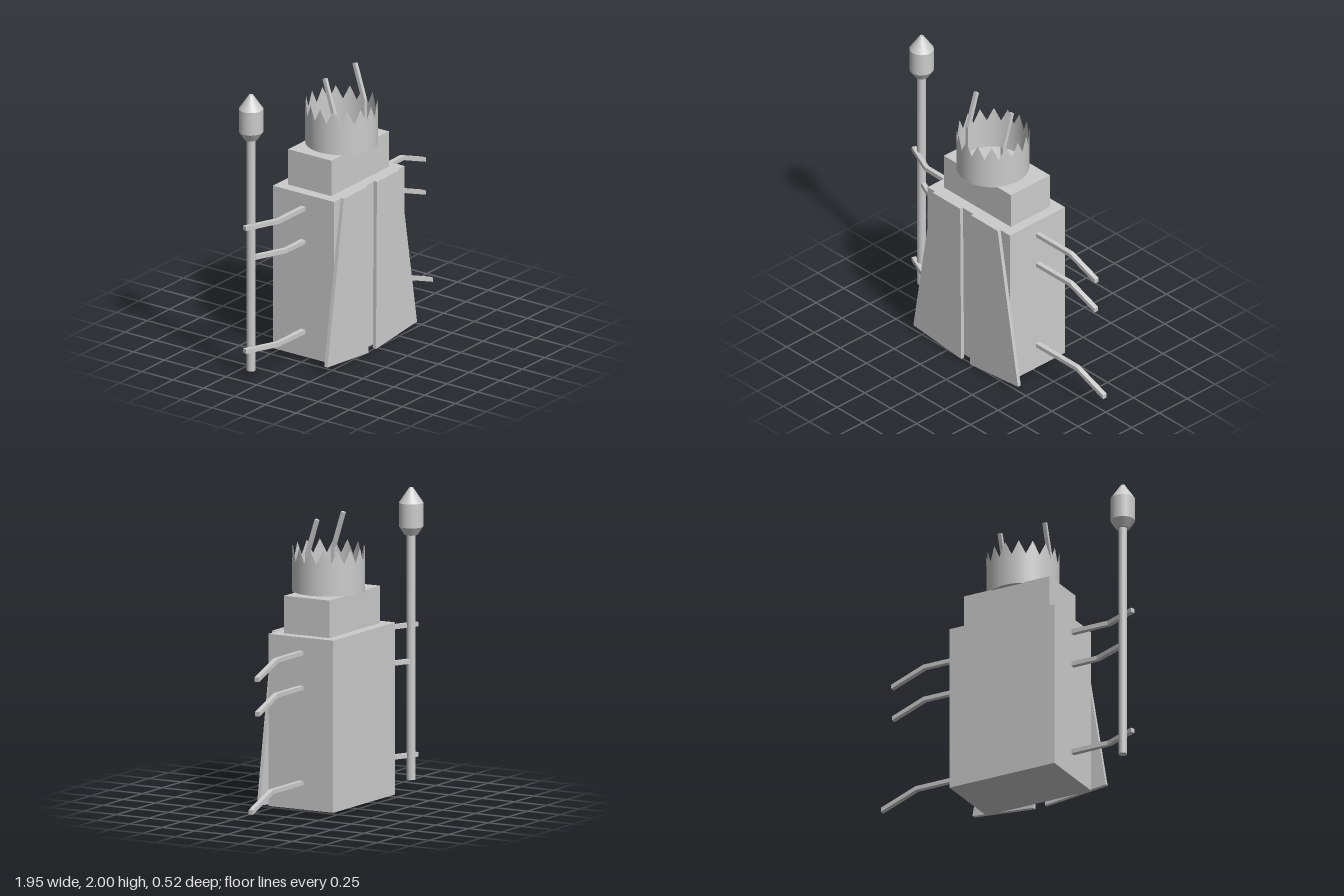
import * as THREE from 'three';

const grey = new THREE.MeshStandardMaterial({ color: 0xcccccc, flatShading: true });
const smooth = new THREE.MeshStandardMaterial({ color: 0xcccccc });
const open = new THREE.MeshStandardMaterial({ color: 0xcccccc, side: THREE.DoubleSide });

export function createModel() {
  const model = new THREE.Group();

  const add = (name, geometry, material = grey) => {
    const mesh = new THREE.Mesh(geometry, material);
    mesh.name = name;
    model.add(mesh);
    return mesh;
  };

  // Box from its two opposite corners
  const box = (name, [x0, y0, z0], [x1, y1, z1]) =>
    add(name, new THREE.BoxGeometry(x1 - x0, y1 - y0, z1 - z0))
      .position.set((x0 + x1) / 2, (y0 + y1) / 2, (z0 + z1) / 2);

  // Flat outline extruded along +z
  const plate = (points, depth) => new THREE.ExtrudeGeometry(
    new THREE.Shape(points.map(([x, y]) => new THREE.Vector2(x, y))),
    { depth, bevelEnabled: false });

  // Torso and head
  box('body', [-0.46, 0.03, -0.26], [0.33, 1.18, 0.236]);
  box('head', [-0.385, 1.18, -0.19], [0.26, 1.43, 0.16]);

  // Two flared coat panels on the front
  const panels = {
    rightCoatPanel: [[-0.57, 0.05], [-0.11, 0.005], [-0.12, 1.185], [-0.385, 1.185]],
    leftCoatPanel: [[-0.025, 0.005], [0.435, 0.05], [0.24, 1.185], [-0.015, 1.185]],
  };
  for (const [name, points] of Object.entries(panels)) {
    add(name, plate(points, 0.026)).position.z = 0.236;
  }

  // Crown: open cylinder whose rim alternates between tips and valleys
  const spikes = 16, radius = 0.24, bottom = 1.425;
  const wall = new THREE.CylinderGeometry(radius, radius, 1, spikes * 2, 1, true);
  const pos = wall.attributes.position;
  for (let i = 0; i < pos.count; i++) {
    const column = i % (spikes * 2 + 1);
    const rim = column % 2 ? 1.64 : 1.735;
    pos.setY(i, pos.getY(i) > 0 ? rim : bottom);
  }
  add('crown', wall, open).position.set(-0.07, 0, 0.015);
  const floor = add('crownFloor', new THREE.CircleGeometry(radius, spikes * 2), open);
  floor.rotation.x = -Math.PI / 2;
  floor.position.set(-0.07, bottom, 0.015);

  // Bent antennae rising from inside the crown, leaning back
  for (const [name, x] of [['rightAntenna', -0.24], ['leftAntenna', 0.097]]) {
    const outline = [[-0.09, 1.42], [-0.065, 1.42], [-0.065, 1.69], [0.008, 1.925],
      [-0.015, 1.932], [-0.09, 1.695]];
    const antenna = add(name, plate(outline, 0.026));
    antenna.rotation.y = Math.PI / 2; // outline x becomes -z
    antenna.position.x = x - 0.013;
  }

  // Left arms, bent downwards: [top y, bend x, tip x]
  for (const [y, bend, tip] of [[1.09, 0.655, 0.897], [0.857, 0.655, 0.892], [0.222, 0.715, 0.975]]) {
    const drop = (tip - bend) * 0.38;
    const outline = [[0.32, y - 0.028], [bend - 0.005, y - 0.028], [tip, y - 0.028 - drop],
      [tip, y + 0.002 - drop], [bend, y], [0.32, y]];
    add('leftArm', plate(outline, 0.034)).position.z = -0.032;
  }

  // Right arms, bent backwards to the staff
  for (const [y, bend, tip] of [[1.092, -0.745, -0.977], [0.857, -0.66, -0.887], [0.222, -0.745, -0.977]]) {
    const back = (bend - tip) * 0.42;
    const outline = [[-0.45, -0.003], [-0.45, 0.032], [bend + 0.07, 0.032], [bend, 0.045],
      [tip + 0.01, 0.037 + back], [tip, 0.007 + back], [bend, 0.003]];
    outline.splice(2, 2, [bend + 0.01, 0.032]);
    const arm = add('rightArm', plate(outline.reverse(), 0.03));
    arm.rotation.x = -Math.PI / 2; // outline y becomes -z
    arm.position.y = y - 0.03;
  }

  // Staff with a pointed head
  const turned = (name, y0, y1, r0, r1) =>
    add(name, new THREE.CylinderGeometry(r1, r0, y1 - y0, 24), smooth)
      .position.set(-0.898, (y0 + y1) / 2, -0.12);
  turned('staffPole', 0.05, 1.7, 0.029, 0.029);
  turned('staffCollar', 1.685, 1.74, 0.045, 0.081);
  turned('staffHead', 1.74, 1.9, 0.081, 0.081);
  turned('staffTip', 1.9, 2, 0.081, 0.013);

  return model;
}
